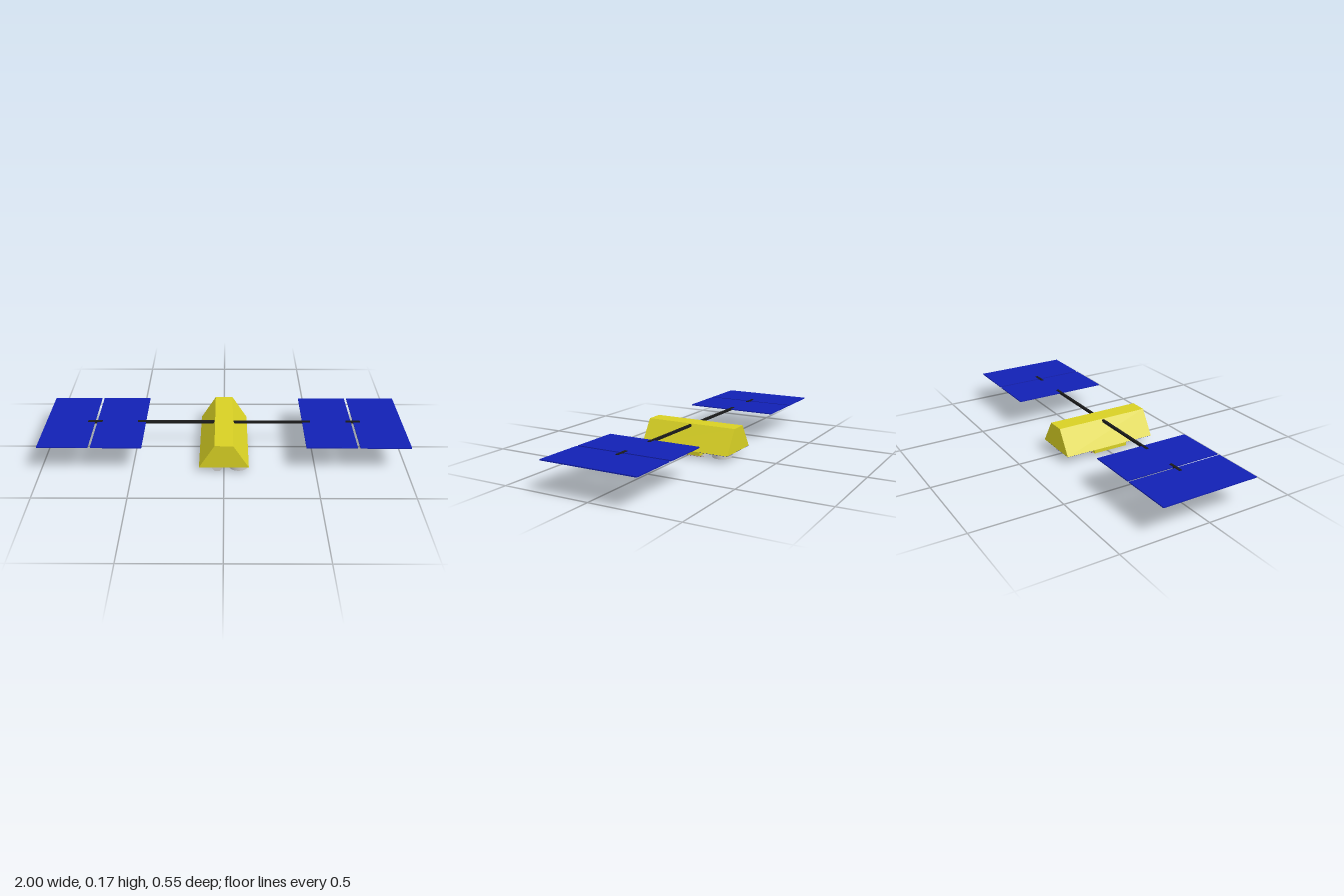
import * as THREE from 'three';

const paint = (color) => new THREE.MeshStandardMaterial({ color });
const gold = paint(0xd8d024);
const blue = paint(0x1220b4);
const black = paint(0x1a1a1a);
const red = paint(0x991408);
const grey = paint(0xcccccc);

export function createModel() {
  const model = new THREE.Group();

  const add = (name, geometry, material, x = 0, y = 0, z = 0) => {
    const mesh = new THREE.Mesh(geometry, material);
    mesh.name = name;
    mesh.position.set(x, y, z);
    model.add(mesh);
    return mesh;
  };

  // Box given by its extents along each axis
  const box = (name, material, [x0, x1], [y0, y1], [z0, z1]) =>
    add(name, new THREE.BoxGeometry(x1 - x0, y1 - y0, z1 - z0), material,
      (x0 + x1) / 2, (y0 + y1) / 2, (z0 + z1) / 2);

  // Symmetric trapezoid in x/y, extruded along z
  const prism = (name, material, x, low, high, y0, y1, z0, z1) => {
    const shape = new THREE.Shape([
      new THREE.Vector2(-low, y0), new THREE.Vector2(low, y0),
      new THREE.Vector2(high, y1), new THREE.Vector2(-high, y1),
    ]);
    const geometry = new THREE.ExtrudeGeometry(shape, { depth: z1 - z0, bevelEnabled: false });
    return add(name, geometry, material, x, 0, z0);
  };

  // Main body with its blue underside
  prism('body', gold, 0, 0.135, 0.05, 0.04, 0.175, -0.273, 0.273);
  box('undersidePanel', blue, [-0.134, 0.134], [0.0385, 0.041], [-0.272, 0.272]);

  // Instrument block under the body
  box('instrumentBase', gold, [-0.135, 0.135], [0.02, 0.04], [-0.103, 0.103]);
  box('instrumentHousing', grey, [-0.085, 0.085], [0.001, 0.02], [-0.095, 0.095]);
  box('instrumentWindow', red, [-0.085, 0.085], [0, 0.001], [-0.095, 0.095]);

  // Round sensors and the tapered antenna
  for (const [name, x, z] of [['frontSensor', 0.08, 0.2], ['rearSensor', 0.04, -0.192]]) {
    add(name, new THREE.CylinderGeometry(0.055, 0.055, 0.035, 32), grey, x, 0.0225, z);
  }
  prism('taperedAntenna', grey, -0.036, 0.015, 0.04, 0.005, 0.04, 0.12, 0.256);

  // Solar wings, mirrored
  for (const side of [1, -1]) {
    const prefix = side > 0 ? 'left' : 'right';
    const span = (a, b) => (side > 0 ? [a, b] : [-b, -a]);
    box(prefix + 'Boom', black, span(0.03, 0.485), [0.158, 0.171], [-0.007, 0.007]);
    box(prefix + 'PanelHinge', black, span(0.685, 0.765), [0.158, 0.171], [-0.007, 0.007]);
    box(prefix + 'InnerPanel', blue, span(0.44, 0.713), [0.161, 0.167], [-0.273, 0.273]);
    box(prefix + 'OuterPanel', blue, span(0.727, 1), [0.161, 0.167], [-0.273, 0.273]);
  }

  return model;
}
